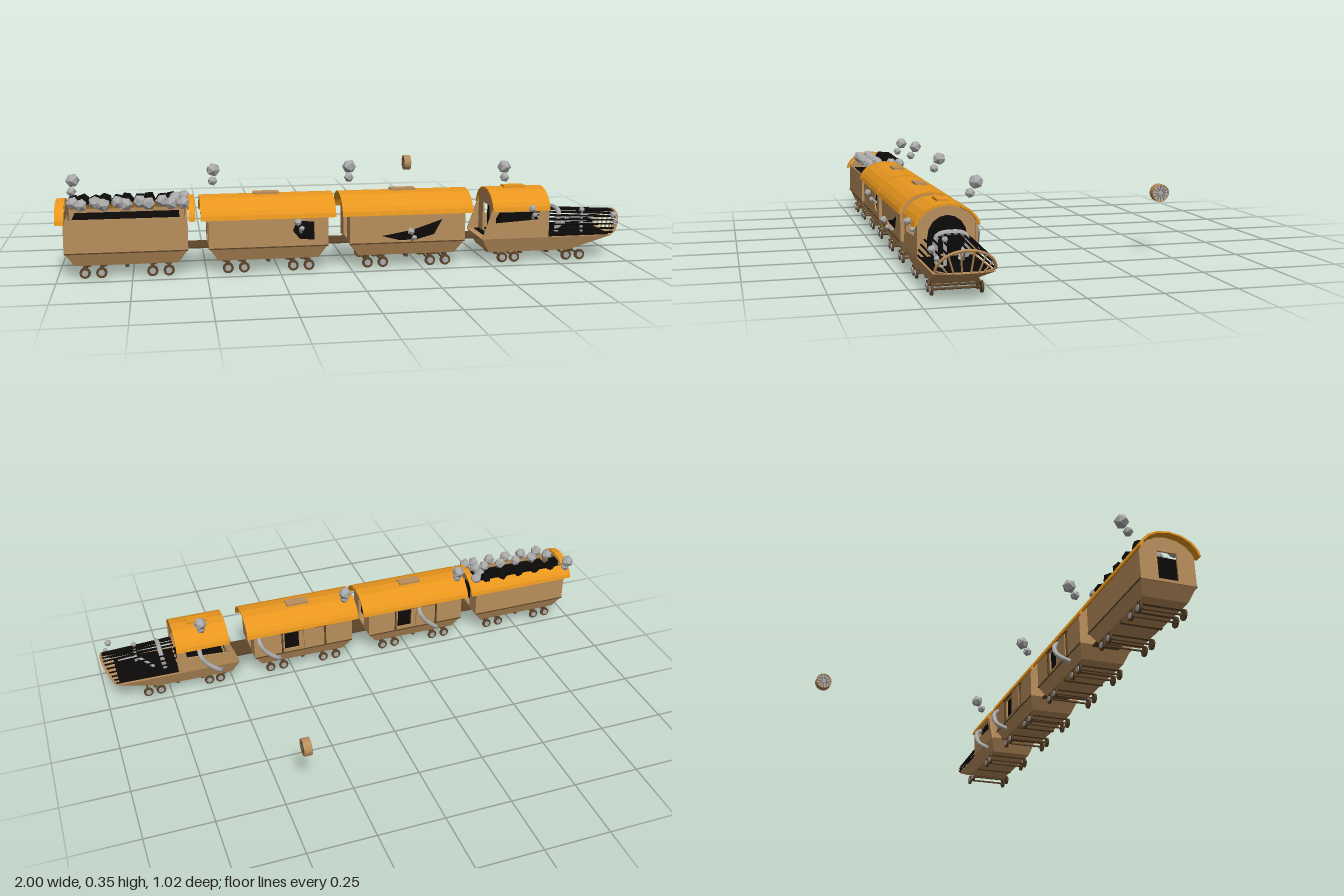
import * as THREE from 'three';

const mat = (color, extra = {}) => new THREE.MeshStandardMaterial({ color, flatShading: true, side: THREE.DoubleSide, ...extra });
const TAN = mat(0xb98e5c), ORANGE = mat(0xe8961e), GREY = mat(0xaaaaaa), DARK = mat(0x0c0a08), BROWN = mat(0x5c4428);
const HALF = 0.098;
// right half of the roof line, from eave to ridge: [z, y]
const ARC = [[0.108, 0.19], [0.104, 0.205], [0.095, 0.22], [0.075, 0.24], [0.042, 0.256], [0, 0.262]];

function add(parent, name, geo, material, x = 0, y = 0, z = 0) {
  const m = new THREE.Mesh(geo, material);
  m.name = name;
  m.position.set(x, y, z);
  parent.add(m);
  return m;
}
const box = (p, n, m, sx, sy, sz, x, y, z) => add(p, n, new THREE.BoxGeometry(sx, sy, sz), m, x, y, z);
const ball = (p, n, r, x, y, z, m = GREY) => {
  const b = add(p, n, new THREE.IcosahedronGeometry(r, 0), m, x, y, z);
  b.rotation.y = x * 9;
  return b;
};
const path = (pts) => new THREE.CatmullRomCurve3(pts.map((p) => new THREE.Vector3(...p)));
const pipe = (p, n, m, r, pts, seg = 12, sides = 8) => add(p, n, new THREE.TubeGeometry(path(pts), seg, r, sides), m);
const shape = (pts, holes = []) => {
  const v = (list) => list.map((q) => new THREE.Vector2(...q));
  const s = new THREE.Shape(v(pts));
  holes.forEach((h) => s.holes.push(new THREE.Path(v(h))));
  return s;
};
const extrude = (s, depth) => new THREE.ExtrudeGeometry(s, { depth, bevelEnabled: false });
const rect = (x0, x1, y0, y1) => [[x0, y0], [x1, y0], [x1, y1], [x0, y1]];

// tapered underbody between two plan outlines of [x, z] points
function hull(p, top, y1, bottom, y0) {
  const n = top.length, pos = [], idx = [];
  top.forEach(([x, z]) => pos.push(x, y1, z));
  bottom.forEach(([x, z]) => pos.push(x, y0, z));
  for (let i = 0; i < n; i++) {
    const j = (i + 1) % n;
    idx.push(i, n + i, j, j, n + i, n + j);
    if (i > 0 && i < n - 1) idx.push(n, n + i, n + i + 1, 0, i + 1, i);
  }
  const g = new THREE.BufferGeometry();
  g.setAttribute('position', new THREE.Float32BufferAttribute(pos, 3));
  g.setIndex(idx);
  g.computeVertexNormals();
  return add(p, 'underbody', g, TAN);
}

// curved roof sheet over x0..x1 ; "arc" may be only part of the roof line
function roof(p, x0, x1, arc, sides = [0]) {
  sides.forEach((side) => {
    const outer = side ? arc.map(([z, y]) => [z * side, y])
      : [...arc, ...arc.slice(0, -1).reverse().map(([z, y]) => [-z, y])];
    const inner = outer.map(([z, y]) => [z * 0.94, y - (y > 0.2 ? 0.006 : 0)]).reverse();
    add(p, 'roof', extrude(shape([...outer, ...inner]), x1 - x0).rotateY(Math.PI / 2), ORANGE, x0).scale.z = side || 1;
  });
}

// arched end wall with an opening
function endWall(p, x, hole) {
  const up = ARC.map(([z, y]) => [Math.min(z * 0.93, HALF), y - 0.008]);
  const pts = [[-HALF, 0.09], [HALF, 0.09], ...up, ...up.slice(0, -1).reverse().map(([z, y]) => [-z, y])];
  add(p, 'endWall', extrude(shape(pts, [hole]), 0.006).rotateY(Math.PI / 2), TAN, x - 0.003);
}

function sideWall(p, outline, holes, side) {
  add(p, 'sideWall', extrude(shape(outline, holes), 0.006), TAN, 0, 0, side * (HALF - 0.003) - 0.003);
}

function wheels(p, xs) {
  for (const x of xs) {
    add(p, 'axle', new THREE.CylinderGeometry(0.004, 0.004, 0.16, 6).rotateX(Math.PI / 2), BROWN, x, 0.019, 0);
    for (const s of [-1, 1]) {
      add(p, 'wheel', new THREE.CylinderGeometry(0.019, 0.019, 0.007, 12).rotateX(Math.PI / 2), BROWN, x, 0.019, s * 0.079);
      add(p, 'wheelHub', new THREE.CylinderGeometry(0.011, 0.011, 0.004, 8).rotateX(Math.PI / 2), GREY, x, 0.019, s * 0.084);
    }
  }
}

// two puffs of smoke beside the roof
function smoke(p, x, y, z = 0) {
  ball(p, 'smokePuff', 0.026, x, y, -0.117 + z);
  ball(p, 'smokePuff', 0.018, x - 0.004, y - 0.037, -0.098 + z);
}

function sidePipe(p, x) {
  pipe(p, 'sidePipe', GREY, 0.009, [[x + 0.04, 0.18, -0.095], [x + 0.04, 0.165, -0.115], [x + 0.02, 0.13, -0.122],
    [x - 0.03, 0.085, -0.12], [x - 0.04, 0.068, -0.09]], 16);
}

// a wagon centred on x = cx
function wagon(name, cx, { hole, open, door }) {
  const g = new THREE.Group();
  g.name = name;
  const a = cx - 0.203, b = cx + 0.203, r0 = cx - 0.232, r1 = cx + 0.232;
  hull(g, rect(a, b, -HALF, HALF), 0.09, rect(a + 0.03, b - 0.03, -0.08, 0.08), 0.045);
  sideWall(g, rect(a, b, 0.09, 0.205), hole ? [hole] : [], 1);
  sideWall(g, rect(a, b, 0.09, 0.205), door ? [rect(cx + 0.02, cx + 0.08, 0.105, 0.18)] : [], -1);
  for (const x of [a, b]) endWall(g, x, rect(-0.035, 0.035, 0.1, 0.2));
  box(g, 'darkInterior', DARK, 0.36, 0.1, 0.16, cx, 0.145, 0);
  for (const s of [-1, 1]) box(g, 'sill', BROWN, 0.41, 0.004, 0.003, cx, 0.09, s * (HALF + 0.001));
  if (open) {
    roof(g, r0, r0 + 0.03, ARC);
    roof(g, r1 - 0.022, r1, ARC);
    roof(g, r0, r1, ARC.slice(0, 4), [1, -1]);
  } else {
    roof(g, r0, r1, ARC);
    box(g, 'roofHatch', TAN, 0.09, 0.01, 0.04, cx, 0.262, -0.007);
  }
  if (door) {
    for (const dx of [-0.09, 0.09]) box(g, 'doorPost', BROWN, 0.006, 0.1, 0.006, cx + dx, 0.14, -HALF - 0.002);
    box(g, 'slidingDoor', TAN, 0.08, 0.09, 0.006, cx - 0.04, 0.142, -HALF - 0.003);
    box(g, 'doorRail', BROWN, 0.2, 0.006, 0.006, cx, 0.188, -HALF - 0.003);
  }
  for (const dx of [-0.14, -0.085, 0, 0.085, 0.14]) box(g, 'crossBeam', BROWN, 0.012, 0.012, 0.15, cx + dx, 0.04, 0);
  wheels(g, [-0.14, -0.085, 0.085, 0.14].map((d) => cx + d));
  return g;
}

function engine() {
  const g = new THREE.Group();
  g.name = 'engine';
  const nose = (x0, x1, w, bulge) => [[x0, -w], [x1, -w * 0.97], [x1 + bulge * 0.7, -w * 0.55], [x1 + bulge, 0],
    [x1 + bulge * 0.7, w * 0.55], [x1, w * 0.97], [x0, w]];
  hull(g, nose(0.47, 0.955, HALF, 0.02), 0.09, nose(0.5, 0.8, 0.08, 0.02), 0.038);
  box(g, 'deck', DARK, 0.45, 0.004, 0.17, 0.72, 0.092, 0);
  // cab
  const wall = [[0.47, 0.09], [0.715, 0.09], [0.715, 0.2], [0.508, 0.2]];
  const windowHole = [[0.507, 0.145], [0.675, 0.155], [0.68, 0.185], [0.53, 0.185]];
  for (const s of [-1, 1]) sideWall(g, wall, [windowHole], s);
  roof(g, 0.505, 0.715, ARC);
  endWall(g, 0.515, rect(-0.04, 0.04, 0.1, 0.2));
  const arch = [[-0.065, 0.1], [0.065, 0.1]];
  for (let i = 0; i <= 8; i++) arch.push([0.065 * Math.cos(i * Math.PI / 8), 0.155 + 0.07 * Math.sin(i * Math.PI / 8)]);
  endWall(g, 0.708, arch);
  box(g, 'darkInterior', DARK, 0.14, 0.11, 0.15, 0.61, 0.15, 0);
  box(g, 'roofHatch', ORANGE, 0.08, 0.008, 0.04, 0.61, 0.263, 0);
  // slatted front cage with its fan grille
  const rim = [];
  for (let i = 0; i <= 14; i++) {
    const a = (i / 14) * Math.PI, c = Math.cos(a), s = Math.sin(a);
    const end = [0.96 + 0.035 * s, 0.1 + 0.064 * s, 0.092 * c];
    rim.push(end);
    pipe(g, 'cageSlat', DARK, 0.0035, [[0.715, 0.1 + 0.08 * s, 0.095 * c], end], 1, 5);
    if (i % 2 === 0) pipe(g, 'grilleBar', TAN, 0.003, [[0.955 + 0.02 * s, 0.09, 0.06 * c], end], 1, 5);
  }
  pipe(g, 'grilleRim', TAN, 0.005, rim, 20, 6);
  // machinery inside the cage
  pipe(g, 'steamPipe', GREY, 0.009, [[0.76, 0.1, -0.05], [0.77, 0.17, -0.045], [0.77, 0.18, 0], [0.77, 0.17, 0.045], [0.76, 0.1, 0.05]], 20);
  pipe(g, 'steamPipe', GREY, 0.006, [[0.8, 0.1, -0.03], [0.86, 0.15, -0.02], [0.93, 0.13, 0.01]]);
  pipe(g, 'valve', GREY, 0.006, [[0.86, 0.095, 0.04], [0.86, 0.165, 0.04]], 2);
  ball(g, 'valveCap', 0.011, 0.86, 0.175, 0.04);
  wheels(g, [0.55, 0.595, 0.79, 0.84]);
  for (const x of [0.53, 0.62, 0.72, 0.81]) box(g, 'crossBeam', BROWN, 0.012, 0.012, 0.15, x, 0.036, 0);
  sidePipe(g, 0.585);
  smoke(g, 0.614, 0.315);
  return g;
}

// spare spoked wheel floating apart from the train
function looseWheel() {
  const g = new THREE.Group();
  g.name = 'looseWheel';
  add(g, 'tyre', new THREE.CylinderGeometry(0.032, 0.032, 0.028, 20, 1, true).rotateZ(Math.PI / 2), TAN);
  for (const s of [-1, 1]) {
    add(g, 'wheelFace', new THREE.CylinderGeometry(0.028, 0.028, 0.004, 20).rotateZ(Math.PI / 2), GREY, s * 0.011);
    add(g, 'wheelRim', new THREE.TorusGeometry(0.03, 0.002, 6, 20).rotateY(Math.PI / 2), TAN, s * 0.013);
    for (let i = 0; i < 12; i++) {
      const a = (i / 12) * Math.PI * 2;
      box(g, 'spoke', BROWN, 0.002, 0.018, 0.002, s * 0.0135, Math.cos(a) * 0.018, Math.sin(a) * 0.018).rotation.x = a;
    }
  }
  g.position.set(0.413, 0.225, -0.483);
  return g;
}

export function createModel() {
  const model = new THREE.Group();
  const train = new THREE.Group();
  train.name = 'train';
  train.position.z = 0.367;

  const tail = wagon('coalWagon', -0.768, { open: true });
  const middle = wagon('middleWagon', -0.287, { door: true, hole: [[-0.205, 0.145], [-0.19, 0.18], [-0.13, 0.175], [-0.13, 0.11], [-0.18, 0.115]] });
  const front = wagon('frontWagon', 0.2, { door: true, hole: [[0.105, 0.115], [0.22, 0.135], [0.325, 0.17], [0.295, 0.115], [0.2, 0.09]] });
  train.add(tail, middle, front, engine());

  // cargo lumps
  for (let i = 0; i < 5; i++) {
    const x = -0.945 + i * 0.075;
    for (const [dx, z] of [[0, 0.018], [0.03, 0.063]]) ball(tail, 'cargoLump', 0.024, x + dx, 0.248, z);
    for (const [dx, z] of [[0, -0.042], [0.03, -0.065]]) ball(tail, 'darkLump', 0.025, x + dx, 0.243, z, DARK);
  }
  for (const [x, z] of [[-0.605, 0.02], [-0.6, -0.035], [-0.57, -0.065], [-0.575, 0.063]]) ball(tail, 'cargoLump', 0.024, x, 0.248, z);

  smoke(tail, -0.955, 0.3, -0.025);
  smoke(middle, -0.463, 0.33);
  smoke(front, 0.028, 0.33);
  sidePipe(middle, -0.34);
  sidePipe(front, 0.345);

  // small puffs and broken pipes by the damaged front side
  for (const [x, y, z] of [[-0.19, 0.18, 0.125], [0.205, 0.135, 0.125], [0.645, 0.2, 0.115], [0.955, 0.165, 0.1]]) {
    ball(train, 'smallPuff', 0.014, x, y, z);
    ball(train, 'smallPuff', 0.01, x + 0.015, y - 0.025, z - 0.012);
    pipe(train, 'brokenPipe', GREY, 0.005, [[x + 0.02, y - 0.05, 0.07], [x + 0.012, y - 0.04, 0.09], [x + 0.01, y - 0.025, z - 0.015]], 6, 6);
  }

  // couplings between the vehicles
  for (const x of [-0.528, -0.043, 0.437]) box(train, 'coupling', BROWN, 0.09, 0.006, 0.1, x, 0.087, 0);

  model.add(train, looseWheel());
  return model;
}
